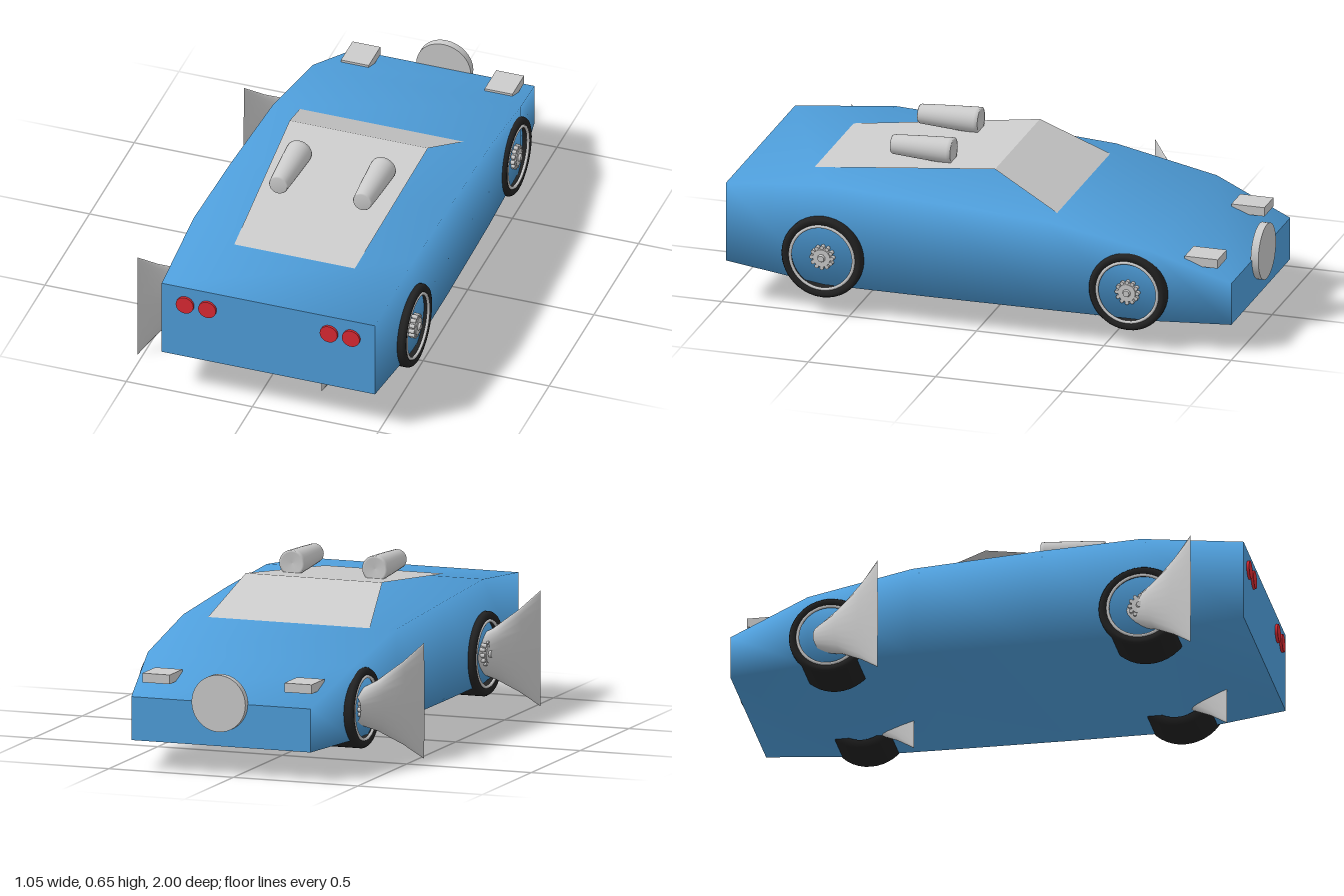
import * as THREE from 'three';

const CX = 0.06; // the car's own centre line
const mat = (color, side = THREE.FrontSide) => new THREE.MeshStandardMaterial({ color, side });
const blue = mat(0x4f9fdc);
const grey = mat(0xcccccc);
const greyThin = mat(0xcccccc, THREE.DoubleSide);
const black = mat(0x222222);
const red = mat(0xdd2a33);

function add(parent, name, geometry, material, x = 0, y = 0, z = 0) {
  const mesh = new THREE.Mesh(geometry, material);
  mesh.name = name;
  mesh.position.set(x, y, z);
  parent.add(mesh);
  return mesh;
}

// Joins rings of equal point count into a skin
function loft(rings, closed = true) {
  const n = rings[0].length;
  const index = [];
  for (let r = 0; r < rings.length - 1; r++) {
    for (let i = 0; i < (closed ? n : n - 1); i++) {
      const a = r * n + i, b = r * n + ((i + 1) % n);
      index.push(a, b, b + n, a, b + n, a + n);
    }
  }
  const g = new THREE.BufferGeometry();
  g.setAttribute('position', new THREE.Float32BufferAttribute(rings.flat(2), 3));
  g.setIndex(index);
  g.computeVertexNormals();
  return g;
}

// Rectangular body sections along z with flat end plates
function makeBody(parent) {
  // z, half width, bottom, top
  const sections = [
    [-0.975, 0.36, 0.115, 0.28],
    [-0.67, 0.413, 0.115, 0.395],
    [-0.27, 0.428, 0.118, 0.47],
    [0.2, 0.435, 0.118, 0.497],
    [0.6, 0.435, 0.118, 0.515],
    [0.99, 0.423, 0.165, 0.475],
  ];
  const rings = sections.map(([z, w, b, t]) => [
    [CX - w, b, z], [CX + w, b, z], [CX + w, t, z], [CX - w, t, z],
  ]);
  add(parent, 'body', loft(rings), blue);
  for (const [name, s, turn] of [['noseEnd', sections[0], Math.PI], ['tailEnd', sections[5], 0]]) {
    const [z, w, b, t] = s;
    add(parent, name, new THREE.PlaneGeometry(2 * w, t - b), blue, CX, (b + t) / 2, z).rotation.y = turn;
  }
}

// Open folded sheet: windscreen, ridge and sloping rear deck
function makeCanopy(parent) {
  const rows = [
    [-0.28, -0.265, 0.385, 0.468], [-0.02, -0.213, 0.335, 0.595], [0.7, -0.178, 0.3, 0.506],
  ].map(([z, x0, x1, y]) => [[x1, y, z], [x0, y, z]]);
  const g = loft(rows, false).toNonIndexed();
  g.computeVertexNormals();
  add(parent, 'canopy', g, greyThin);
}

// Hollow tyre, rim ring and bolted hub; the axle is the local y axis pointing outward
function makeWheel(name, side, outer, r, y, z) {
  const wheel = new THREE.Group();
  wheel.name = name;
  const width = 0.185, inner = r * 0.79;
  const profile = [
    [inner, -width], [r, -width], [r, -0.012], [r - 0.006, -0.002],
    [r - 0.014, 0], [inner + 0.008, -0.002], [inner, -0.01], [inner, -width],
  ].map(([a, b]) => new THREE.Vector2(a, b));
  const tyre = new THREE.LatheGeometry(profile, 40);
  add(wheel, 'tyre', tyre, black);
  add(wheel, 'rim', new THREE.TorusGeometry(inner - 0.002, 0.006, 8, 40).rotateX(Math.PI / 2), grey, 0, -0.006, 0);
  add(wheel, 'hub', new THREE.CylinderGeometry(0.034, 0.04, 0.06, 24), grey, 0, -0.03, 0);
  add(wheel, 'hubCap', new THREE.CylinderGeometry(0.012, 0.016, 0.01, 12), grey, 0, 0.004, 0);
  for (let i = 0; i < 12; i++) {
    const a = (i / 12) * Math.PI * 2;
    add(wheel, 'hubBolt', new THREE.CylinderGeometry(0.008, 0.008, 0.05, 8), grey,
      0.04 * Math.cos(a), -0.028, 0.04 * Math.sin(a));
  }
  wheel.rotation.z = -side * Math.PI / 2;
  wheel.position.set(CX + side * outer, y, z);
  return wheel;
}

// Fishtail fin: round at the hub, flaring into a thin upright edge
function makeFin() {
  const dir = new THREE.Vector2(-0.19, 0.24);
  const across = new THREE.Vector2(0.24, 0.19).normalize();
  const rings = [[0, 0.055, 0.055], [0.35, 0.097, 0.04], [0.7, 0.157, 0.018], [1, 0.22, 0.001]].map(([t, h, w]) => {
    const ring = [];
    for (let i = 0; i < 24; i++) {
      const a = (i / 24) * Math.PI * 2;
      const k = w * Math.cos(a);
      ring.push([dir.x * t + across.x * k, h * Math.sin(a), dir.y * t + across.y * k]);
    }
    return ring;
  });
  return loft(rings);
}

export function createModel() {
  const car = new THREE.Group();
  car.name = 'car';
  makeBody(car);
  makeCanopy(car);

  // Wheels, each with a fin trailing from its hub
  const fin = makeFin();
  for (const [end, outer, r, y, z] of [['rear', 0.46, 0.16, 0.232, 0.603], ['front', 0.436, 0.152, 0.224, -0.588]]) {
    for (const [label, side] of [['Left', 1], ['Right', -1]]) {
      car.add(makeWheel(end + label + 'Wheel', side, outer, r, y, z));
      add(car, end + label + 'Fin', fin, greyThin, side > 0 ? 0.4 : -0.33, 0.225, z - 0.025);
    }
  }

  // Tapered pods above the canopy
  const pod = [[0, 0], [0.034, 0], [0.037, 0.006], [0.044, 0.11], [0.05, 0.225], [0.05, 0.24], [0.042, 0.24], [0, 0.235]]
    .map(([a, b]) => new THREE.Vector2(a, b));
  for (const x of [-0.105, 0.228]) {
    add(car, 'pod', new THREE.LatheGeometry(pod, 28).rotateX(-Math.PI / 2), greyThin, x, 0.606, 0.417);
  }

  // Lamps on the nose
  for (const x of [-0.226, 0.344]) {
    add(car, 'noseLamp', new THREE.BoxGeometry(0.11, 0.035, 0.13), grey, x, 0.343, -0.85);
  }
  add(car, 'noseDisc', new THREE.CylinderGeometry(0.108, 0.108, 0.03, 40).rotateX(Math.PI / 2), grey, CX, 0.281, -0.985);

  // Paired round tail lights
  for (const x of [-0.269, -0.18, 0.302, 0.39]) {
    add(car, 'tailLight', new THREE.CylinderGeometry(0.035, 0.035, 0.015, 28).rotateX(Math.PI / 2), red, x, 0.401, 0.9925);
  }
  return car;
}
